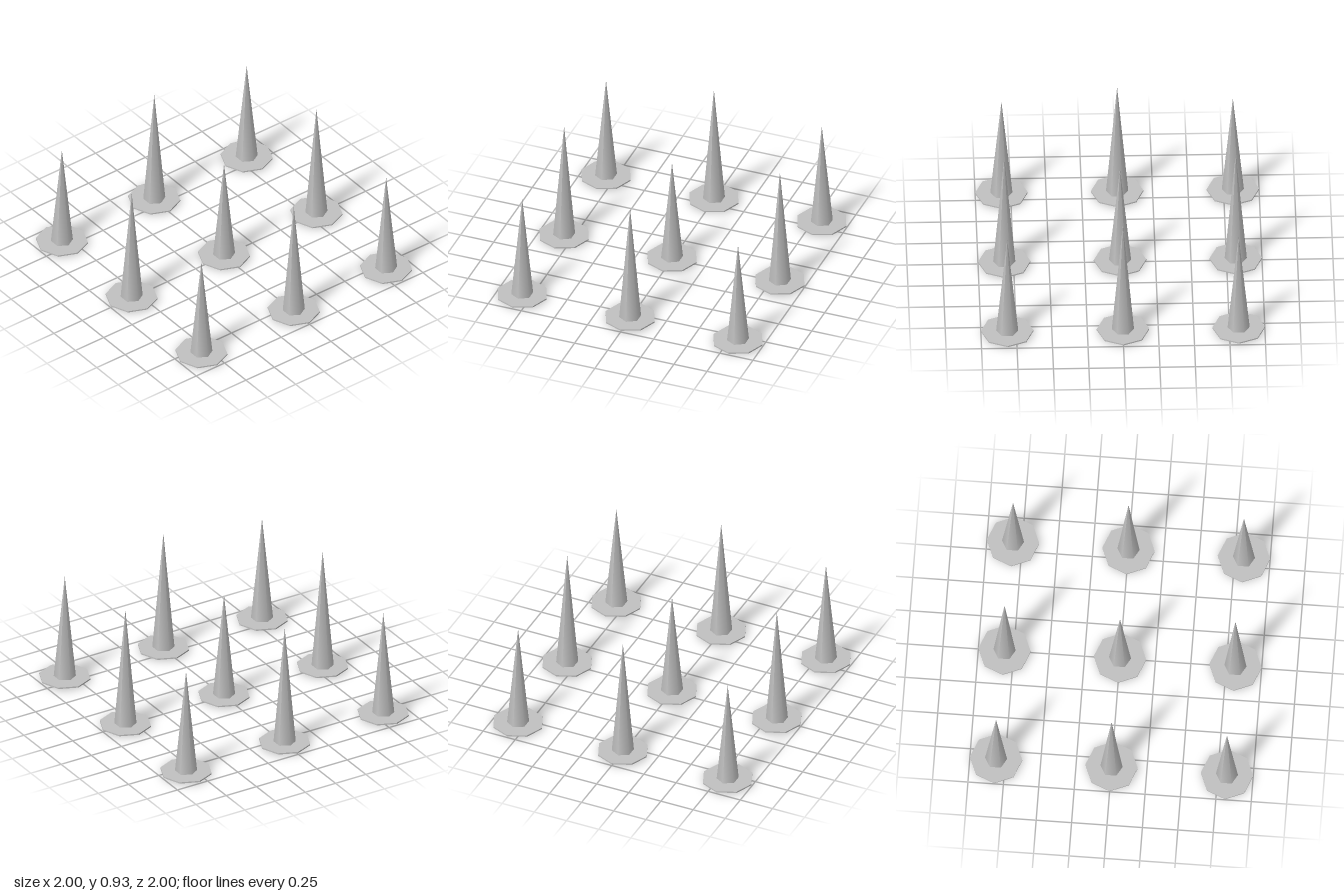
import * as THREE from 'three';

export function createModel() {
  const model = new THREE.Group();
  model.name = 'spikeTrap';
  const metal = new THREE.MeshStandardMaterial({ color: 0xc0c0c0 });
  metal.name = 'light grey metal';

  const spacing = 0.815;

  // Six-sided spike with smooth sides, corners on the x axis
  function spikeShape(height) {
    const shape = new THREE.ConeGeometry(0.08, height, 6, 1, false, Math.PI / 2);
    return shape.translate(0, height / 2, 0);
  }
  const shortSpike = spikeShape(0.815);
  const tallSpike = spikeShape(0.93);

  // Thin octagonal collar, corners on the axes
  const collarShape = new THREE.CylinderGeometry(0.185, 0.185, 0.01, 8).toNonIndexed();
  collarShape.computeVertexNormals();
  collarShape.translate(0, 0.015, 0);

  // Three by three grid: short spikes at the corners and centre, tall ones between
  for (const i of [-1, 0, 1]) {
    for (const j of [-1, 0, 1]) {
      const unit = new THREE.Group();
      unit.name = 'spikeUnit';
      unit.position.set(i * spacing, 0, j * spacing);
      const spike = new THREE.Mesh((i + j) % 2 === 0 ? shortSpike : tallSpike, metal);
      spike.name = 'spike';
      const collar = new THREE.Mesh(collarShape, metal);
      collar.name = 'collar';
      unit.add(spike, collar);
      model.add(unit);
    }
  }
  return model;
}
